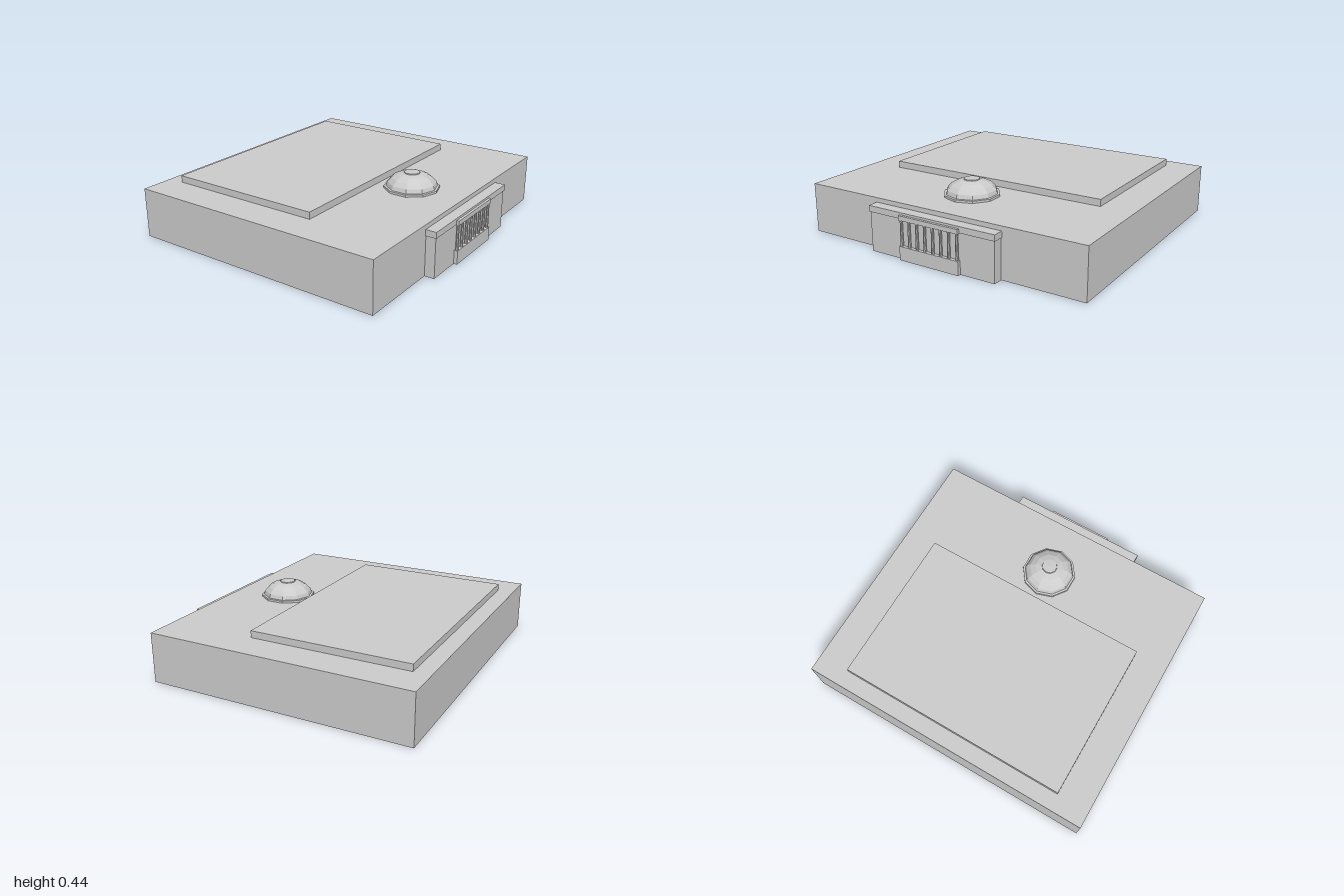
import * as THREE from 'three';

const stone = new THREE.MeshStandardMaterial({ color: 0xcccccc, side: THREE.DoubleSide, flatShading: true });
stone.name = 'pale stone';

// Face order of BoxGeometry
const FACES = ['right', 'left', 'top', 'bottom', 'front', 'back'];

// Box given by its limits, with the listed faces left open
function shell(x, y0, y1, z0, z1, open = []) {
  const geo = new THREE.BoxGeometry(2 * x, y1 - y0, z1 - z0);
  const index = Array.from(geo.index.array);
  const kept = [];
  FACES.forEach((name, i) => {
    if (!open.includes(name)) kept.push(...index.slice(i * 6, i * 6 + 6));
  });
  geo.clearGroups();
  geo.setIndex(kept);
  geo.translate(0, (y0 + y1) / 2, (z0 + z1) / 2);
  return geo;
}

export function createModel() {
  const model = new THREE.Group();
  model.name = 'domedBuilding';

  const add = (name, geo, parent = model) => {
    const mesh = new THREE.Mesh(geo, stone);
    mesh.name = name;
    parent.add(mesh);
    return mesh;
  };

  // Main block, hollow and open underneath, with a raised roof slab
  add('mainBlock', shell(1, 0, 0.33, -0.92, 0.83, ['bottom']));
  add('roofSlab', shell(0.78, 0.33, 0.375, -0.812, 0.243, ['bottom']));

  // Ten-sided dome: low drum, curved shell and flat cap
  const dome = new THREE.Group();
  dome.name = 'dome';
  dome.position.set(0, 0.33, 0.462);
  model.add(dome);
  const profile = [
    [0.18, 0], [0.18, 0.014], [0.166, 0.016], [0.158, 0.042], [0.132, 0.07],
    [0.095, 0.09], [0.052, 0.101], [0.05, 0.107], [0, 0.11],
  ].map(([r, y]) => new THREE.Vector2(r, y));
  add('domeShell', new THREE.LatheGeometry(profile, 10), dome);

  // Entrance block reaching back through the front wall, open behind and below
  const entrance = new THREE.Group();
  entrance.name = 'entrance';
  model.add(entrance);
  add('entranceWalls', shell(0.455, 0, 0.26, 0.77, 0.895, ['top', 'bottom', 'back']), entrance);
  add('entranceCornice', shell(0.461, 0.26, 0.3, 0.77, 0.901, ['bottom', 'back']), entrance);

  // Colonnade: plinth, beam and a row of slim columns
  add('plinth', shell(0.217, 0, 0.09, 0.895, 0.918, ['bottom']), entrance);
  add('beam', shell(0.217, 0.256, 0.286, 0.895, 0.918), entrance);
  const shaft = new THREE.CylinderGeometry(0.0085, 0.01, 0.166, 8);
  const count = 8;
  for (let i = 0; i < count; i++) {
    const column = add('column', shaft, entrance);
    column.position.set(-0.204 + (0.408 * i) / (count - 1), 0.173, 0.906);
  }

  return model;
}
